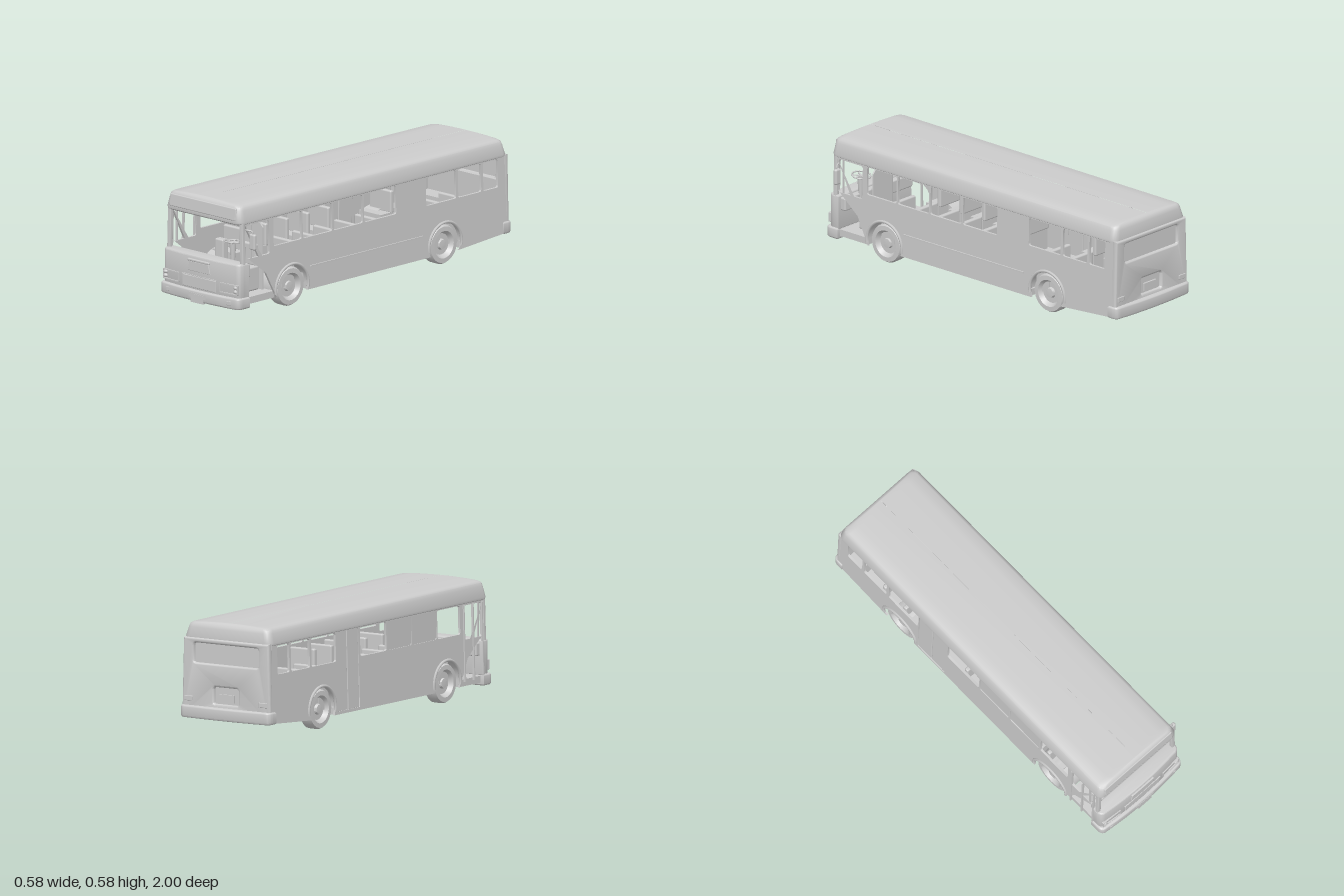
import * as THREE from 'three';
import { toCreasedNormals } from 'three/addons/utils/BufferGeometryUtils.js';
import { RoundedBoxGeometry } from 'three/addons/geometries/RoundedBoxGeometry.js';

const mat = new THREE.MeshStandardMaterial({ color: 0xcccccc });
const thin = new THREE.MeshStandardMaterial({ color: 0xcccccc, side: THREE.DoubleSide });
const WHEELS = [[0.59, 0.1], [-0.51, 0.108]];
const ARCH = 0.116;
// half width of the body, which narrows a little towards the roof
const half = y => 0.268 - 0.028 * (y - 0.065);

function rectPath(x0, x1, y0, y1, r = 0.012) {
  const p = new THREE.Path();
  p.moveTo(x0 + r, y0).lineTo(x1 - r, y0).quadraticCurveTo(x1, y0, x1, y0 + r);
  p.lineTo(x1, y1 - r).quadraticCurveTo(x1, y1, x1 - r, y1);
  p.lineTo(x0 + r, y1).quadraticCurveTo(x0, y1, x0, y1 - r);
  p.lineTo(x0, y0 + r).quadraticCurveTo(x0, y0, x0 + r, y0);
  return p;
}

const extrude = (shape, depth, bevel = 0) => new THREE.ExtrudeGeometry(shape, {
  depth, curveSegments: 8, bevelEnabled: bevel > 0, bevelSize: bevel, bevelThickness: bevel, bevelOffset: -bevel, bevelSegments: 3,
});

// Bowed plan outline raised along y; dir 1 faces the front, -1 the rear
function bowed(hx, zBack, zFront, y0, y1, dir, bow, bevel) {
  const s = new THREE.Shape(), f = z => -z * dir, e = zFront - bow;
  s.moveTo(hx, f(zBack));
  s.lineTo(hx, f(e - 0.035));
  s.quadraticCurveTo(hx, f(e), hx - 0.035, f(e));
  s.quadraticCurveTo(0, f(zFront + bow), -hx + 0.035, f(e));
  s.quadraticCurveTo(-hx, f(e), -hx, f(e - 0.035));
  s.lineTo(-hx, f(zBack));
  const g = extrude(s, y1 - y0 - 2 * bevel, bevel);
  g.rotateX(-Math.PI / 2).translate(0, y0 + bevel, 0);
  return toCreasedNormals(g, 0.6);
}

// Skin over rounded rectangles stacked in y: [y, half width, front z, rear z]
function loft(rings, radius) {
  const pos = [], idx = [], steps = 6, n = 4 * steps;
  for (const [y, hx, zf, zb] of rings) {
    const r = Math.min(radius, hx);
    for (let k = 0; k < 4; k++) for (let j = 0; j < steps; j++) {
      const a = (k + j / (steps - 1)) * Math.PI / 2;
      const cx = (k === 0 || k === 3 ? 1 : -1) * (hx - r), z = (k < 2 ? zf - r : zb + r) + r * Math.sin(a);
      pos.push(cx + r * Math.cos(a), y > 0.5 ? y - 0.005 * (1 - z) : y, z);
    }
  }
  for (let i = 0; i < rings.length - 1; i++) for (let p = 0; p < n; p++) {
    const a = i * n + p, b = i * n + (p + 1) % n;
    idx.push(a, a + n, b, b, a + n, b + n);
  }
  const g = new THREE.BufferGeometry();
  g.setAttribute('position', new THREE.Float32BufferAttribute(pos, 3));
  g.setIndex(idx);
  return toCreasedNormals(g, 0.7);
}

export function createModel() {
  const root = new THREE.Group(), bus = new THREE.Group();
  root.name = 'cityBus';
  bus.name = 'bus';
  bus.position.x = -0.016;
  root.add(bus);
  const add = (name, geo, x = 0, y = 0, z = 0, m = mat) => {
    const mesh = new THREE.Mesh(geo, m);
    mesh.name = name;
    mesh.position.set(x, y, z);
    bus.add(mesh);
    return mesh;
  };
  // box from its limits
  const box = (name, x0, x1, y0, y1, z0, z1, r = 0) => add(name,
    r ? new RoundedBoxGeometry(x1 - x0, y1 - y0, z1 - z0, 2, r) : new THREE.BoxGeometry(x1 - x0, y1 - y0, z1 - z0),
    (x0 + x1) / 2, (y0 + y1) / 2, (z0 + z1) / 2);

  // Side walls with wheel arches and windows
  const windows = [[0.515, 0.715], [0.295, 0.505], [0.075, 0.285], [-0.165, 0.065], [-0.595, -0.38], [-0.775, -0.61], [-0.895, -0.79]];
  for (const side of [1, -1]) {
    const s = new THREE.Shape();
    s.moveTo(0.925, 0.065);
    for (const [z, y] of WHEELS) {
      const a = Math.asin((y - 0.065) / ARCH);
      s.absarc(z, y, ARCH, -a, Math.PI + a, false);
    }
    s.lineTo(-0.6, 0.065).lineTo(-0.955, 0.09).lineTo(-0.945, 0.49).lineTo(0.925, 0.49);
    for (const [z0, z1] of windows) s.holes.push(rectPath(z0, z1, 0.332, 0.476));
    s.holes.push(rectPath(0.745, 0.905, 0.3, 0.472));
    if (side < 0) s.holes.push(rectPath(-0.375, -0.18, 0.08, 0.476, 0.004));
    const g = extrude(s, 0.012).rotateY(-Math.PI / 2), p = g.attributes.position;
    for (let i = 0; i < p.count; i++) p.setX(i, p.getX(i) + side * half(p.getY(i)) + (side < 0 ? 0.012 : 0));
    g.computeVertexNormals();
    add(side > 0 ? 'leftWall' : 'rightWall', toCreasedNormals(g, 0.5));

    // Wheels, wheel housings and arch lips
    for (const [z, y] of WHEELS) {
      const profile = [[0, -0.035], [0.088, -0.035], [0.099, -0.024], [0.1, 0.022], [0.093, 0.034], [0.07, 0.035], [0.062, 0.024],
        [0.055, 0.012], [0.028, 0.012], [0.024, 0.026], [0, 0.028]].map(q => new THREE.Vector2(...q));
      const wheel = toCreasedNormals(new THREE.LatheGeometry(profile, 32), 0.6).rotateZ(-side * Math.PI / 2);
      add('wheel', wheel, side * 0.223, y, z);
      const well = new THREE.CylinderGeometry(ARCH, ARCH, 0.1, 20, 1, true, 0, Math.PI).rotateZ(Math.PI / 2);
      add('wheelHousing', well, side * 0.21, y, z, thin);
      add('housingPanel', new THREE.CircleGeometry(ARCH, 20, 0, Math.PI).rotateY(Math.PI / 2), side * 0.161, y, z, thin);
      const lip = new THREE.TorusGeometry(ARCH + 0.002, 0.008, 6, 24, Math.PI * 1.1).rotateZ(-Math.PI * 0.05).rotateY(Math.PI / 2);
      add('archLip', lip, side * 0.266, y, z);
    }
    // Windscreen pillars and front corner posts
    const pillar = box('windscreenPillar', -0.011, 0.011, 0.27, 0.49, 0.918, 0.94, 0.005);
    pillar.position.x = side * 0.25;
    pillar.rotation.z = side * 0.03;
    box('windowPost', side * 0.256 - 0.004, side * 0.256 + 0.004, 0.3, 0.475, 0.872, 0.88);
  }
  box('sideTrim', 0.262, 0.271, 0.178, 0.186, -0.35, 0.46);

  // Right side: closed panes, double door and front door frame
  for (const [z0, z1] of windows.slice(1, 3)) box('windowPane', -0.256, -0.252, 0.33, 0.478, z0 - 0.002, z1 + 0.002);
  for (const [z0, z1] of [[-0.377, -0.28], [-0.276, -0.178]]) {
    const leaf = box('doorLeaf', -0.258, -0.248, 0.078, 0.478, z0, z1, 0.003);
    leaf.rotation.z = -0.028;
  }
  for (const z of [0.745, 0.825, 0.905]) {
    const seam = box('doorSeam', -0.268, -0.257, 0.09, 0.475, z - 0.004, z + 0.004);
    seam.rotation.z = -0.028;
  }

  // Roof with rounded shoulders and a crown
  add('roof', loft([[0.476, 0.001, 0.94, -0.94], [0.476, 0.25, 0.944, -0.95], [0.484, 0.261, 0.956, -0.963], [0.495, 0.262, 0.958, -0.964],
    [0.55, 0.249, 0.952, -0.957], [0.566, 0.243, 0.948, -0.953], [0.574, 0.23, 0.94, -0.945], [0.579, 0.17, 0.935, -0.94],
    [0.582, 0.09, 0.932, -0.937], [0.583, 0.001, 0.93, -0.935]], 0.035));
  const sign = box('signPanel', -0.228, 0.228, 0.499, 0.562, 0.944, 0.957, 0.005);
  sign.rotation.x = -0.1;

  // Underbody: a centre spine and full-width parts between the wheels
  for (const [hx, z0, z1] of [[0.16, -0.95, 0.92], [0.256, 0.71, 0.92], [0.256, -0.39, 0.472], [0.256, -0.95, -0.63]]) {
    const g = new THREE.BoxGeometry(hx * 2, 0.035, z1 - z0, 1, 1, 30).translate(0, 0.083, (z0 + z1) / 2), p = g.attributes.position;
    for (let i = 0; i < p.count; i++) p.setY(i, p.getY(i) + 0.07 * Math.max(0, -0.6 - p.getZ(i)));
    g.computeVertexNormals();
    add('floor', g);
  }

  // Nose panel, grille, lights and front bumper
  add('nosePanel', bowed(0.266, 0.9, 0.982, 0.1, 0.28, 1, 0.014, 0.008));
  box('grilleHood', -0.075, 0.075, 0.25, 0.263, 0.965, 0.99, 0.005);
  const grille = new THREE.Shape();
  grille.moveTo(-0.078, 0.2).lineTo(0.078, 0.2).lineTo(0.066, 0.25).lineTo(-0.066, 0.25);
  add('grille', extrude(grille, 0.016, 0.003), 0, 0, 0.965);
  box('noseSeam', -0.12, 0.12, 0.176, 0.18, 0.96, 0.985);
  box('lowerGrille', -0.115, 0.115, 0.115, 0.174, 0.96, 0.983, 0.003);
  add('frontBumper', bowed(0.275, 0.9, 0.998, 0.05, 0.108, 1, 0.014, 0.009));
  box('numberPlate', -0.043, 0.045, 0.045, 0.088, 0.985, 1.0);
  box('plateRecess', -0.058, 0.06, 0.07, 0.094, 0.98, 0.999);
  for (const side of [1, -1]) {
    const frame = new THREE.Shape(rectPath(-0.058, 0.058, 0.123, 0.175, 0.004).getPoints());
    frame.holes.push(rectPath(-0.053, 0.053, 0.128, 0.17, 0.003));
    add('lightFrame', extrude(frame, 0.016), side * 0.199, 0, 0.962).rotation.y = side * 0.06;
    for (const y of [0.139, 0.16]) {
      const lamp = add('headlight', new THREE.SphereGeometry(0.014, 16, 10), side * 0.243, y, 0.967);
      lamp.scale.set(1, 0.75, 0.9);
    }
    box('bumperSlot', side * 0.2 - 0.022, side * 0.2 + 0.022, 0.068, 0.09, 0.975, 0.989, 0.003);
  }

  // Rear wall with a sunken window, plate hollow, lamps and bumper
  const rear = new THREE.Shape();
  rear.moveTo(-0.267, 0.09).lineTo(0.267, 0.09).lineTo(0.257, 0.49).lineTo(-0.257, 0.49);
  rear.holes.push(rectPath(-0.195, 0.195, 0.365, 0.465, 0.015), rectPath(-0.075, 0.075, 0.165, 0.25, 0.012));
  add('rearWall', toCreasedNormals(extrude(rear, 0.012, 0.01), 0.6), 0, 0, -0.962);
  box('rearWindow', -0.205, 0.205, 0.355, 0.475, -0.957, -0.95);
  box('plateHollow', -0.09, 0.09, 0.155, 0.26, -0.955, -0.945);
  box('rearPlate', -0.045, 0.045, 0.175, 0.215, -0.965, -0.955);
  add('rearBumper', bowed(0.274, 0.925, 0.998, 0.085, 0.148, -1, 0.01, 0.01));
  for (const side of [1, -1]) box('rearLamp', side * 0.225 - 0.025, side * 0.225 + 0.025, 0.17, 0.195, -0.976, -0.965, 0.003);

  // Mirror on its arm
  const arm = new THREE.CatmullRomCurve3([[0.25, 0.45, 0.91], [0.275, 0.448, 0.9], [0.284, 0.444, 0.895], [0.286, 0.42, 0.892]].map(q => new THREE.Vector3(...q)));
  add('mirrorArm', new THREE.TubeGeometry(arm, 12, 0.004, 8));
  box('mirror', 0.267, 0.306, 0.35, 0.432, 0.88, 0.902, 0.009);

  // Driver's place
  const screen = new THREE.Shape();
  screen.moveTo(0.06, 0.1).lineTo(0.2, 0.1).lineTo(0.2, 0.42).lineTo(0.182, 0.44).lineTo(0.078, 0.44).lineTo(0.06, 0.42);
  add('driverScreen', extrude(screen, 0.008), 0, 0, 0.725);
  box('driverSeat', 0.075, 0.185, 0.1, 0.225, 0.74, 0.84, 0.01);
  box('driverSeatBack', 0.08, 0.18, 0.22, 0.335, 0.738, 0.762, 0.01);
  add('steeringColumn', new THREE.CylinderGeometry(0.018, 0.008, 0.14, 12), 0.131, 0.288, 0.875);
  const ring = add('steeringWheel', new THREE.TorusGeometry(0.048, 0.004, 8, 28), 0.131, 0.362, 0.87);
  ring.rotation.x = Math.PI / 2 - 0.12;
  for (const a of [0, Math.PI / 3, -Math.PI / 3]) {
    add('steeringSpoke', new THREE.BoxGeometry(0.094, 0.004, 0.008), 0.131, 0.36, 0.87).rotation.y = a;
  }
  box('fareBox', -0.03, 0.03, 0.1, 0.345, 0.8, 0.84, 0.008);
  box('dashboard', -0.25, 0.25, 0.2, 0.268, 0.87, 0.91, 0.008);

  // Passenger seats and rear bench
  for (const side of [1, -1]) for (const z of [0.55, 0.4, 0.25, 0.1, -0.05, -0.5, -0.65]) {
    const x = side * 0.165;
    box('seat', x - 0.075, x + 0.075, 0.1, 0.215, z, z + 0.085);
    box('seatBack', x - 0.075, x + 0.075, 0.21, 0.325, z - 0.012, z + 0.012, 0.008);
  }
  box('rearBench', -0.245, 0.245, 0.1, 0.23, -0.94, -0.82);
  box('rearBenchBack', -0.245, 0.245, 0.22, 0.362, -0.945, -0.915);
  return root;
}
